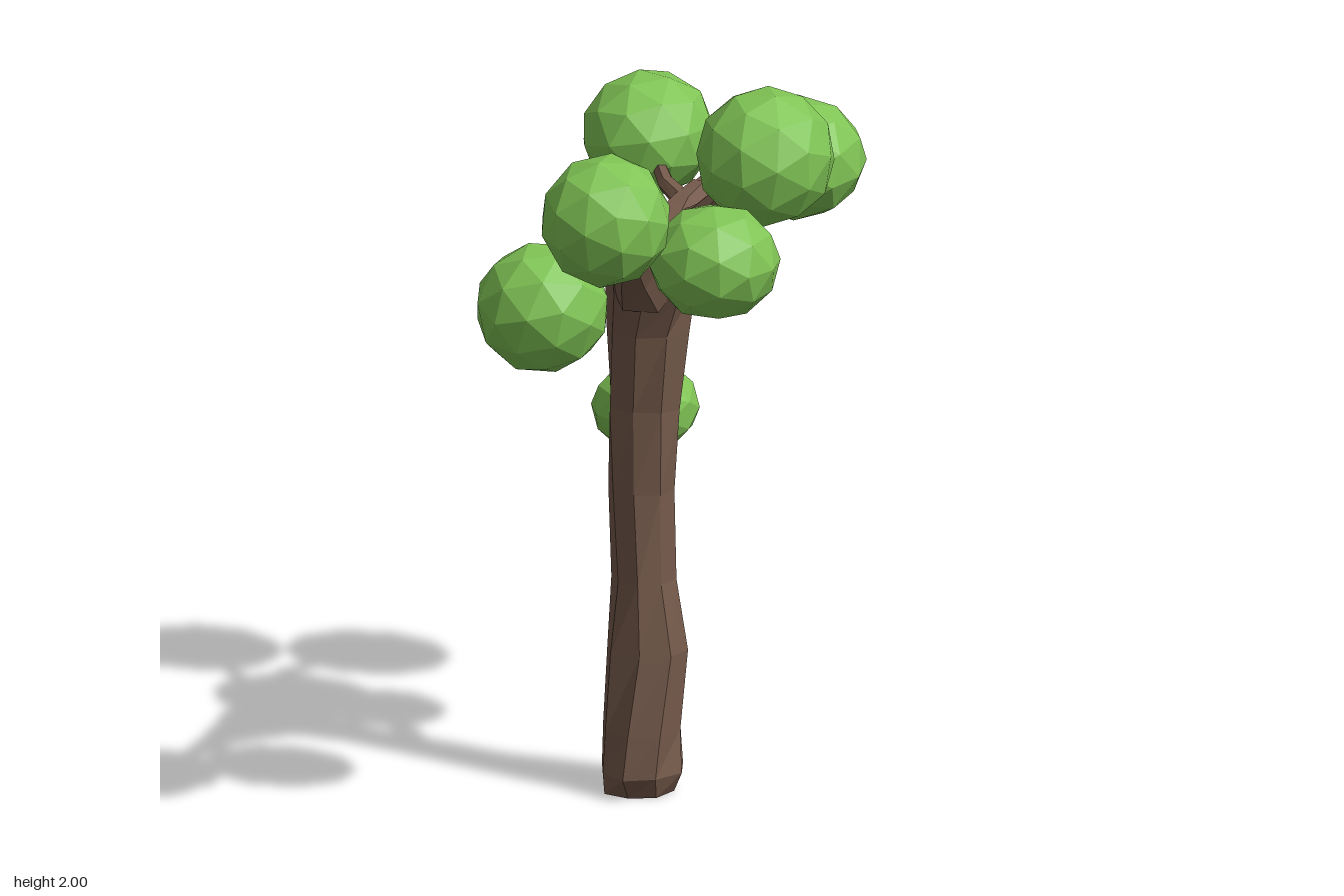
import * as THREE from 'three';

const bark = new THREE.MeshStandardMaterial({ color: 0x755a4b, flatShading: true });
const leaf = new THREE.MeshStandardMaterial({ color: 0x80c455, flatShading: true });

// Skin a list of rings (equal point counts) and close both ends
function loft(rings, name) {
  const n = rings[0].length, pos = [];
  const tri = (...pts) => pts.forEach(p => pos.push(p.x, p.y, p.z));
  const middle = ring => ring.reduce((s, p) => s.add(p), new THREE.Vector3()).divideScalar(n);
  const first = rings[0], last = rings[rings.length - 1];
  const c0 = middle(first), c1 = middle(last);
  for (let j = 0; j < n; j++) {
    const k = (j + 1) % n;
    for (let i = 0; i < rings.length - 1; i++) {
      const a = rings[i][j], b = rings[i][k], c = rings[i + 1][k], d = rings[i + 1][j];
      tri(a, d, b);
      tri(b, d, c);
    }
    tri(c0, first[j], first[k]);
    tri(c1, last[k], last[j]);
  }
  const geo = new THREE.BufferGeometry();
  geo.setAttribute('position', new THREE.Float32BufferAttribute(pos, 3));
  geo.computeVertexNormals();
  const mesh = new THREE.Mesh(geo, bark);
  mesh.name = name;
  return mesh;
}

// Tapered limb along points [x, y, z, radius]
function limb(name, path, sides = 6) {
  const pts = path.map(p => new THREE.Vector3(p[0], p[1], p[2]));
  const rings = pts.map((p, i) => {
    const t = pts[Math.min(i + 1, pts.length - 1)].clone().sub(pts[Math.max(i - 1, 0)]).normalize();
    const u = new THREE.Vector3(0, 1, 0).cross(t).normalize();
    const v = u.clone().cross(t);
    return Array.from({ length: sides }, (_, j) => {
      const a = (j / sides) * Math.PI * 2;
      return p.clone()
        .addScaledVector(u, Math.cos(a) * path[i][3])
        .addScaledVector(v, Math.sin(a) * path[i][3]);
    });
  });
  return loft(rings, name);
}

// Trunk: [y, xMin, xMax, zMin, zMax] at each height, flaring to a fork in z
function trunk() {
  const levels = [
    [0, -0.2, 0, -0.12, 0.1],
    [0.06, -0.205, 0.025, -0.13, 0.13],
    [0.18, -0.2, 0.025, -0.14, 0.12],
    [0.4, -0.195, 0.035, -0.125, 0.09],
    [0.6, -0.175, 0.0, -0.1, 0.075],
    [0.85, -0.19, 0.0, -0.11, 0.05],
    [1.08, -0.195, 0.01, -0.115, 0.035],
    [1.3, -0.2, 0.03, -0.14, 0.055],
    [1.42, -0.195, 0.055, -0.175, 0.1],
    [1.51, -0.17, 0.045, -0.215, 0.165],
    [1.56, -0.12, 0.0, -0.23, 0.17]
  ];
  const sides = 8;
  const rings = levels.map(([y, x0, x1, z0, z1], i) =>
    Array.from({ length: sides }, (_, j) => {
      const a = (j / sides) * Math.PI * 2 + 0.12 * Math.sin(i * 1.3);
      const r = 1 + 0.05 * Math.sin(i * 2.1 + j * 2.7);
      return new THREE.Vector3(
        (x0 + x1) / 2 + Math.cos(a) * r * (x1 - x0) / 2,
        y,
        (z0 + z1) / 2 + Math.sin(a) * r * (z1 - z0) / 2);
    }));
  return loft(rings, 'trunk');
}

// Faceted leaf ball, turned and then fitted to the given half sizes
function foliage(name, center, half, turn) {
  const geo = new THREE.IcosahedronGeometry(1, 1);
  geo.rotateX(turn).rotateY(turn * 1.7).rotateZ(turn * 0.6);
  geo.computeBoundingBox();
  const { max } = geo.boundingBox;
  geo.scale(half[0] / max.x, half[1] / max.y, half[2] / max.z);
  geo.computeVertexNormals();
  const mesh = new THREE.Mesh(geo, leaf);
  mesh.position.set(...center);
  mesh.name = name;
  return mesh;
}

export function createModel() {
  const tree = new THREE.Group();
  tree.name = 'tree';
  tree.add(trunk());

  // Main fork and the twigs that carry the leaf balls
  const limbs = {
    frontLimb: [[-0.07, 1.46, 0.04, 0.1], [-0.065, 1.53, 0.15, 0.065], [-0.05, 1.575, 0.23, 0.042], [-0.045, 1.6, 0.31, 0.034]],
    frontLeftTwig: [[-0.05, 1.59, 0.28, 0.03], [0.03, 1.62, 0.33, 0.022], [0.18, 1.65, 0.39, 0.018]],
    frontRightTwig: [[-0.045, 1.6, 0.29, 0.03], [-0.08, 1.59, 0.39, 0.022], [-0.17, 1.54, 0.48, 0.018]],
    frontTwig: [[-0.045, 1.59, 0.29, 0.03], [-0.025, 1.65, 0.41, 0.022], [0, 1.76, 0.58, 0.018]],
    backLimb: [[-0.07, 1.46, -0.08, 0.1], [-0.065, 1.53, -0.19, 0.07], [-0.05, 1.58, -0.28, 0.045], [-0.025, 1.61, -0.36, 0.034]],
    backLeftTwig: [[-0.03, 1.6, -0.34, 0.034], [0, 1.63, -0.44, 0.026], [0.09, 1.63, -0.58, 0.018]],
    backRightTwig: [[-0.05, 1.59, -0.29, 0.03], [-0.12, 1.62, -0.35, 0.024], [-0.19, 1.66, -0.48, 0.018]],
    leftTwig: [[-0.06, 1.53, -0.19, 0.05], [0.02, 1.59, -0.21, 0.03], [0.13, 1.7, -0.19, 0.02]],
    lowTwig: [[-0.1, 0.88, -0.06, 0.05], [-0.11, 0.92, -0.14, 0.036], [-0.14, 0.97, -0.24, 0.026]]
  };
  for (const [name, path] of Object.entries(limbs)) tree.add(limb(name, path));

  // Leaf balls: centre, half sizes
  const balls = {
    frontFoliage: [[0, 1.822, 0.665], [0.18, 0.178, 0.19]],
    frontLeftFoliage: [[0.24, 1.655, 0.425], [0.177, 0.16, 0.182]],
    frontRightFoliage: [[-0.22, 1.515, 0.525], [0.18, 0.175, 0.193]],
    leftFoliage: [[0.21, 1.775, -0.18], [0.19, 0.185, 0.2]],
    backLeftFoliage: [[0.155, 1.625, -0.667], [0.19, 0.165, 0.192]],
    backRightFoliage: [[-0.235, 1.69, -0.57], [0.18, 0.17, 0.197]],
    lowFoliage: [[-0.17, 0.993, -0.318], [0.145, 0.127, 0.158]]
  };
  Object.entries(balls).forEach(([name, [center, half]], i) =>
    tree.add(foliage(name, center, half, 0.3 + i * 0.9)));

  return tree;
}
